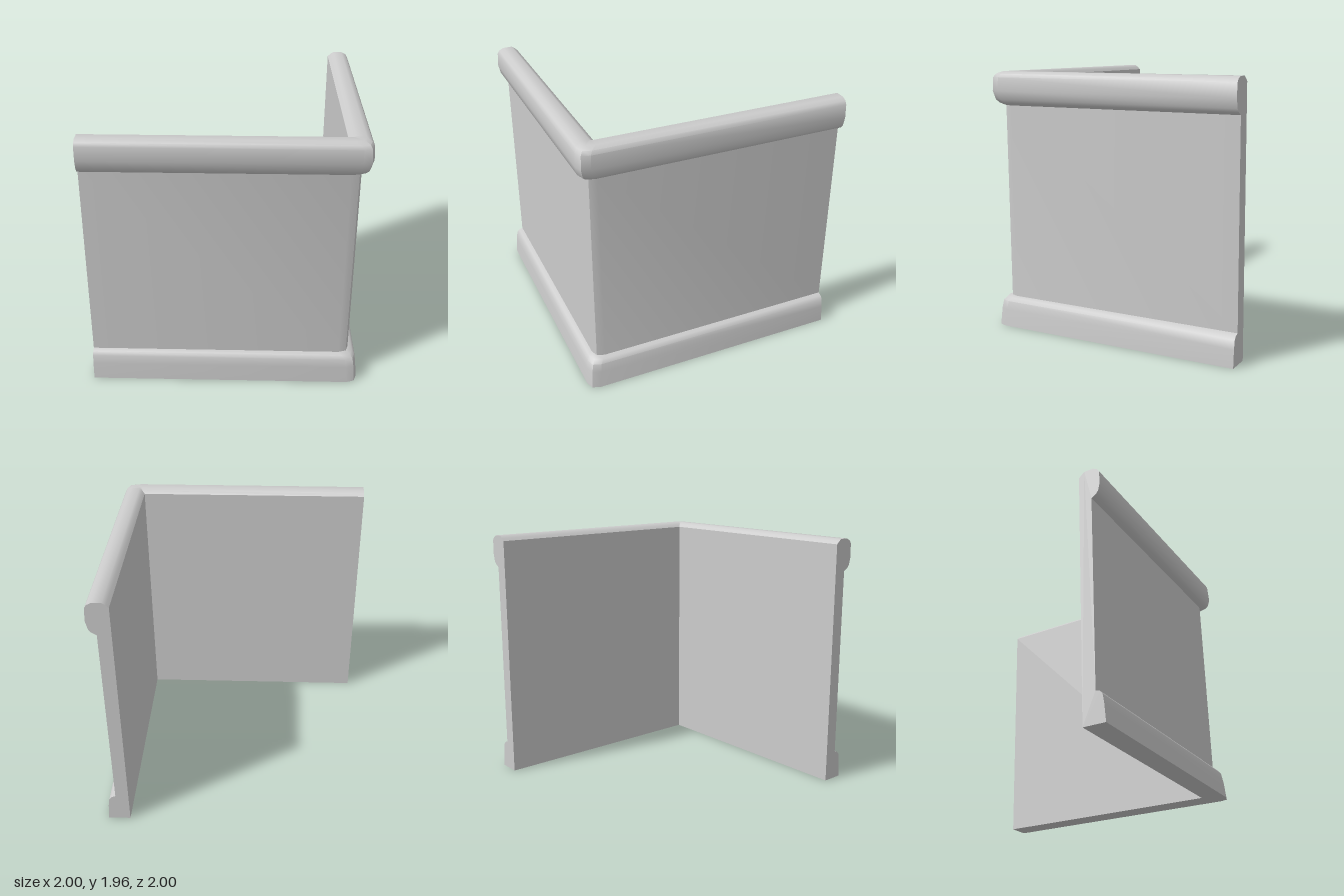
import * as THREE from 'three';
import { toCreasedNormals } from 'three/addons/utils/BufferGeometryUtils.js';

// Profiles as [distance outward, height], running up the inside, over the top and down the outside
const INNER = 0.83, FACE = 0.93;
const insideFace = [[FACE, 0], [INNER, 0], [INNER, 1.925]];
const railProfile = [
  [INNER, 1.925], [0.85, 1.945], [0.875, 1.963], [0.945, 1.962], [0.98, 1.945], [0.995, 1.92],
  [1, 1.82], [0.985, 1.755], [0.965, 1.73], [0.94, 1.715], [FACE, 1.71],
];
const faceProfile = [[FACE, 1.71], [FACE, 0.23]];
const baseProfile = [[FACE, 0.23], [0.96, 0.22], [0.98, 0.195], [0.99, 0.13], [1, 0], [FACE, 0]];

// One profile point carried along the L: two straight runs with an eased outer corner
function cornerPath([d, y]) {
  const r = THREE.MathUtils.clamp(d - 0.855, 0, 0.08);
  const m = d - 0.25 * r;
  return [[-1, d], [d - r, d], [m, m], [d, d - r], [d, -1]].map(([x, z]) => new THREE.Vector3(x, y, z));
}

function sweep(profile) {
  const rows = profile.map(cornerPath);
  const points = [];
  const triangle = (a, b, c) => {
    if (new THREE.Triangle(a, b, c).getArea() > 1e-8) points.push(a, b, c);
  };
  for (let i = 0; i < rows.length - 1; i++) {
    for (let j = 0; j < rows[i].length - 1; j++) {
      const a = rows[i][j], b = rows[i + 1][j], c = rows[i + 1][j + 1], d = rows[i][j + 1];
      triangle(a, b, c);
      triangle(a, c, d);
    }
  }
  return toCreasedNormals(new THREE.BufferGeometry().setFromPoints(points), THREE.MathUtils.degToRad(38));
}

export function createModel() {
  const group = new THREE.Group();
  const material = new THREE.MeshStandardMaterial({ color: 0xcccccc });
  const capMaterial = new THREE.MeshStandardMaterial({ color: 0xcccccc, side: THREE.DoubleSide });
  const add = (name, geometry, mat = material) => {
    const mesh = new THREE.Mesh(geometry, mat);
    mesh.name = name;
    group.add(mesh);
  };

  add('innerWall', sweep(insideFace));
  add('topRail', sweep(railProfile));
  add('outerWall', sweep(faceProfile));
  add('baseboard', sweep(baseProfile));

  // Flat cut ends of the two walls
  const outline = [[INNER, 0], ...railProfile, ...baseProfile.slice(0, -1)];
  const shape = new THREE.Shape(outline.map(([d, y]) => new THREE.Vector2(d, y)));
  add('frontWallEnd', new THREE.ShapeGeometry(shape).rotateY(-Math.PI / 2).translate(-1, 0, 0), capMaterial);
  add('sideWallEnd', new THREE.ShapeGeometry(shape).translate(0, 0, -1), capMaterial);

  return group;
}
